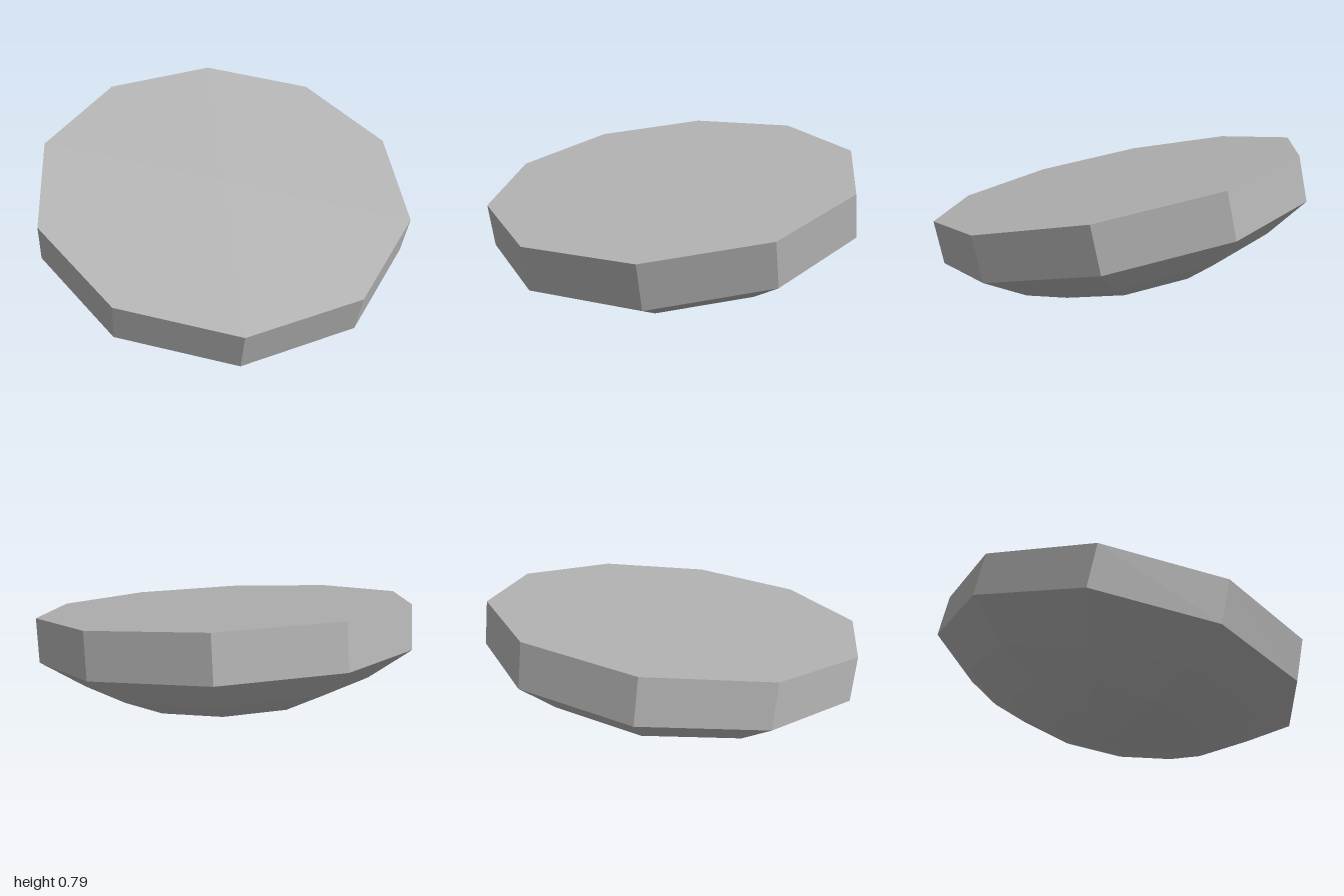
import * as THREE from 'three';

const SIDES = 10;
const RADIUS = 0.993;
const RIM_HEIGHT = 0.23;
const SPHERE = 1.6; // curvature of the underside
const STEPS = 4;

export function createModel() {
  const model = new THREE.Group();
  model.name = 'tiltedBowl';

  const grey = new THREE.MeshStandardMaterial({ color: 0xb4b4b4, flatShading: true });
  grey.name = 'grey';

  const turned = (name, points) => {
    const mesh = new THREE.Mesh(new THREE.LatheGeometry(points, SIDES), grey);
    mesh.name = name;
    return mesh;
  };

  // shallow spherical underside, from the pole up to the rim
  const cap = Math.asin(RADIUS / SPHERE);
  const curve = [];
  for (let i = 0; i <= STEPS; i++) {
    const a = (cap * i) / STEPS;
    curve.push(new THREE.Vector2(SPHERE * Math.sin(a), SPHERE * (Math.cos(cap) - Math.cos(a))));
  }

  const body = new THREE.Group();
  body.name = 'body';
  body.add(turned('underside', curve));

  // straight ten-sided rim
  body.add(turned('rim', [
    new THREE.Vector2(RADIUS, 0),
    new THREE.Vector2(RADIUS, RIM_HEIGHT),
  ]));

  // flat top
  const top = new THREE.Mesh(new THREE.CircleGeometry(RADIUS, SIDES, -Math.PI / 2), grey);
  top.name = 'flatTop';
  top.rotation.x = -Math.PI / 2;
  top.position.y = RIM_HEIGHT;
  body.add(top);

  // lean towards the front left
  const axis = new THREE.Vector3(0.162, 1, 0.127).normalize();
  body.quaternion.setFromUnitVectors(new THREE.Vector3(0, 1, 0), axis);
  body.position.set(-0.02, 0.369, -0.014);

  model.add(body);
  return model;
}
